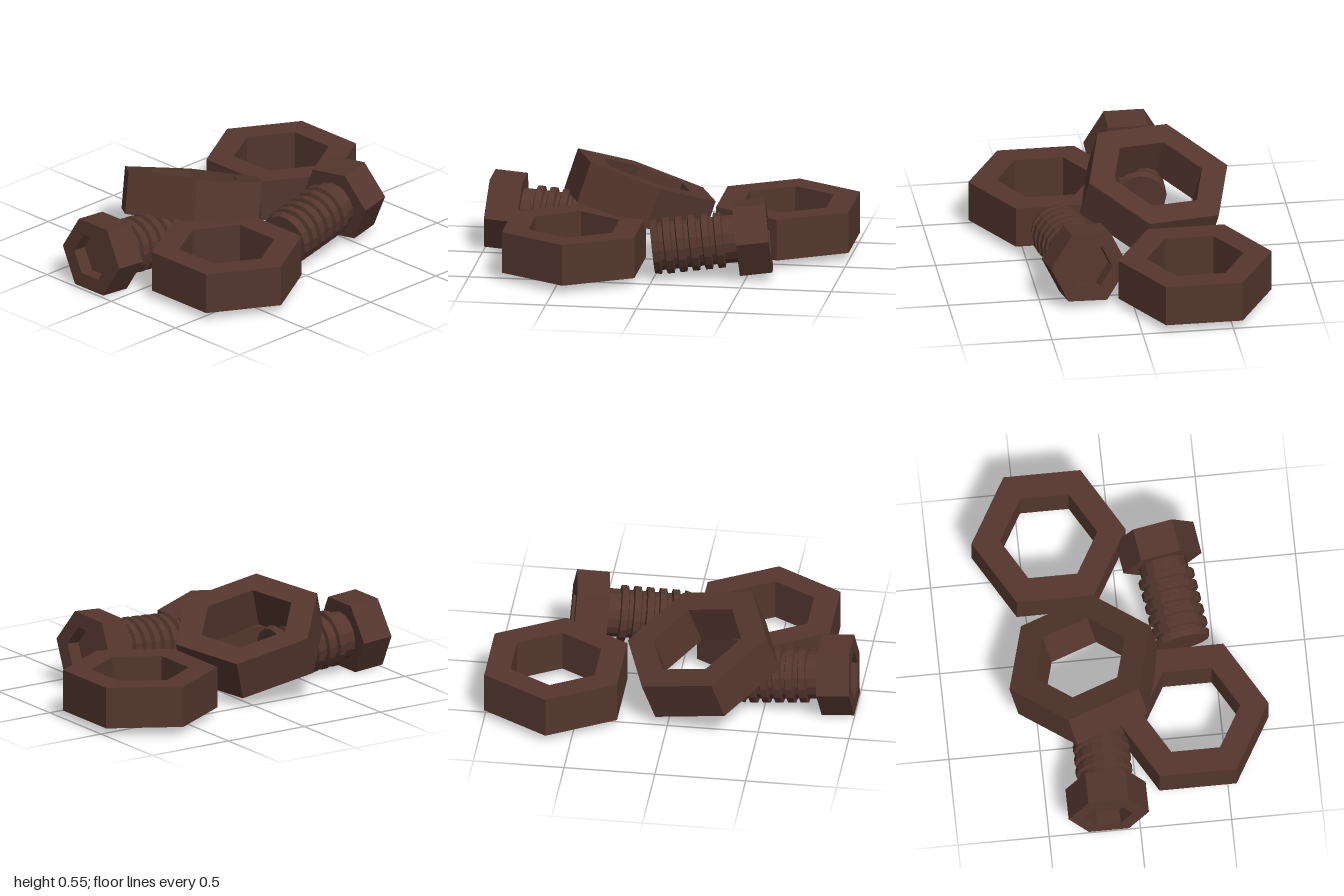
import * as THREE from 'three';

const steel = new THREE.MeshStandardMaterial({ color: 0x54362e, flatShading: true });
steel.name = 'dark brown steel';

const hexPoints = (r) => Array.from({ length: 6 }, (_, i) =>
  new THREE.Vector2(r * Math.cos(i * Math.PI / 3), r * Math.sin(i * Math.PI / 3)));

// Hexagonal prism from z0 to z1 with a corner on +x and an optional hexagonal hole
function hexPrism(name, outer, inner, z0, z1) {
  const shape = new THREE.Shape(hexPoints(outer));
  if (inner) shape.holes.push(new THREE.Path(hexPoints(inner).reverse()));
  const geo = new THREE.ExtrudeGeometry(shape, { depth: z1 - z0, bevelEnabled: false });
  geo.translate(0, 0, z0);
  const mesh = new THREE.Mesh(geo, steel);
  mesh.name = name;
  return mesh;
}

// Point local z along the axis and local x towards a hexagon corner
function place(object, position, axis, corner) {
  const z = new THREE.Vector3(...axis).normalize();
  const y = z.clone().cross(new THREE.Vector3(...corner)).normalize();
  const x = y.clone().cross(z);
  object.quaternion.setFromRotationMatrix(new THREE.Matrix4().makeBasis(x, y, z));
  object.position.set(...position);
  return object;
}

// Nut: the origin is the centre of its upper face
function nut(name) {
  return hexPrism(name, 0.422, 0.267, -0.23, 0);
}

// Bolt: the origin is the centre of the head's outer face, the shaft runs to -z
function bolt(name) {
  const group = new THREE.Group();
  group.name = name;
  group.add(hexPrism('headRim', 0.22, 0.13, -0.08, 0));
  group.add(hexPrism('headBase', 0.22, 0, -0.18, -0.08));

  // Threaded shaft with square-cut ridges
  const tip = -0.64, pitch = 0.07, crest = 0.155, root = 0.132;
  const profile = [new THREE.Vector2(0, tip)];
  for (let i = 0; i < 6; i++) {
    const s = tip + i * pitch;
    profile.push(
      new THREE.Vector2(i ? crest : 0.145, s),
      new THREE.Vector2(crest, s + 0.036),
      new THREE.Vector2(root, s + 0.042),
      new THREE.Vector2(root, s + 0.064));
  }
  profile.push(new THREE.Vector2(root, -0.17));
  const geo = new THREE.LatheGeometry(profile, 16);
  geo.rotateX(Math.PI / 2);
  const shaft = new THREE.Mesh(geo, steel);
  shaft.name = 'threadedShaft';
  group.add(shaft);
  return group;
}

export function createModel() {
  const model = new THREE.Group();
  model.name = 'nutsAndBolts';
  model.add(
    // Two nuts lying flat and one leaning on top
    place(nut('rightNut'), [-0.445, 0.28, 0.335], [0, 1, 0], [0, 0, 1]),
    place(nut('leftNut'), [0.635, 0.28, -0.34], [0, 1, 0], [0, 0, 1]),
    place(nut('leaningNut'), [-0.13, 0.413, -0.245], [0.297, 0.936, -0.185], [0.13, 0.037, 0.395]),
    // Bolts with their heads facing outwards
    place(bolt('rightBolt'), [-0.985, 0.21, -0.172], [-1, 0.08, 0], [0, 0, 1]),
    place(bolt('leftBolt'), [0.617, 0.24, 0.238], [0.98, 0.11, -0.15], [0, 0.07, 1]),
  );
  return model;
}
